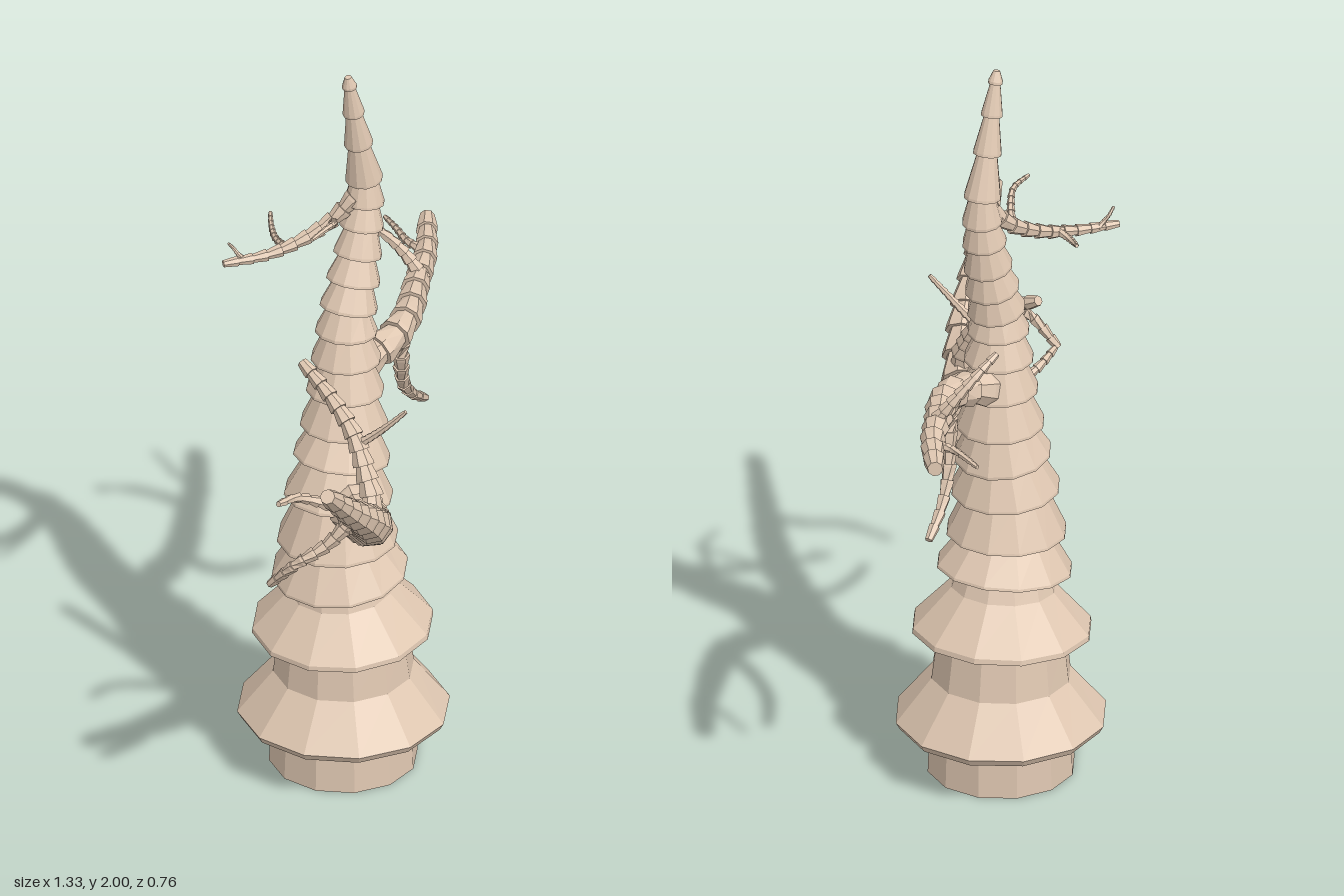
import * as THREE from 'three';

const bark = new THREE.MeshStandardMaterial({ color: 0xe0c8b2, flatShading: true, side: THREE.DoubleSide });
const UP = new THREE.Vector3(0, 1, 0);

// Skin a list of rings { centre, dir, r } and close both ends.
function loft(name, rings, sides) {
  const pos = [], index = [];
  const q = new THREE.Quaternion(), v = new THREE.Vector3();
  for (const { centre, dir, r } of rings) {
    q.setFromUnitVectors(UP, dir);
    for (let k = 0; k < sides; k++) {
      const a = (k + 0.5) / sides * Math.PI * 2;
      v.set(Math.sin(a) * r, 0, Math.cos(a) * r).applyQuaternion(q).add(centre);
      pos.push(v.x, v.y, v.z);
    }
  }
  for (let i = 0; i < rings.length - 1; i++) {
    for (let k = 0; k < sides; k++) {
      const a = i * sides + k, b = i * sides + (k + 1) % sides;
      index.push(a, b, b + sides, a, b + sides, a + sides);
    }
  }
  const last = (rings.length - 1) * sides;
  for (let k = 1; k < sides - 1; k++) {
    index.push(0, k + 1, k, last, last + k, last + k + 1);
  }
  const geo = new THREE.BufferGeometry();
  geo.setAttribute('position', new THREE.Float32BufferAttribute(pos, 3));
  geo.setIndex(index);
  const flat = geo.toNonIndexed();
  flat.computeVertexNormals();
  const mesh = new THREE.Mesh(flat, bark);
  mesh.name = name;
  return mesh;
}

// A curved limb of stacked cups, each wide at its base and narrow at its tip.
function limb(name, points, r0, r1, count, sides) {
  const curve = new THREE.CatmullRomCurve3(points.map(p => new THREE.Vector3(...p)));
  const rings = [];
  const add = (t, r) => rings.push({ centre: curve.getPointAt(t), dir: curve.getTangentAt(t), r });
  for (let i = 0; i < count; i++) {
    const r = THREE.MathUtils.lerp(r0, r1, i / count);
    add(i / count, r * 0.72);
    add(i / count, r);
    add((i + 0.2) / count, r * 0.97);
    add((i + 1) / count, r * 0.7);
  }
  return loft(name, rings, sides);
}

function trunk() {
  // Leaning centre line, as heights and sideways offsets
  const line = new THREE.CatmullRomCurve3([
    [0.01, 0], [0.01, 0.3], [0, 0.5], [-0.015, 0.66], [-0.01, 0.8], [0.01, 0.95], [0.02, 1.15],
    [0.025, 1.28], [0.055, 1.4], [0.085, 1.52], [0.1, 1.64], [0.075, 1.78], [0.05, 1.9], [0.03, 2],
  ].map(([x, y]) => new THREE.Vector3(x, y, -0.08)));
  const at = y => {
    let lo = 0, hi = 1;
    for (let i = 0; i < 30; i++) {
      const m = (lo + hi) / 2;
      if (line.getPoint(m).y < y) lo = m; else hi = m;
    }
    return lo;
  };
  const rings = [];
  const add = (y, r) => {
    const t = at(y);
    rings.push({ centre: line.getPoint(t), dir: line.getTangent(t), r });
  };
  // Plinth and the two big skirts
  [[0, 0.19], [0.13, 0.185], [0.132, 0.262], [0.15, 0.272], [0.265, 0.18], [0.39, 0.165],
    [0.392, 0.232], [0.405, 0.23], [0.51, 0.135], [0.555, 0.12]].forEach(([y, r]) => add(y, r));
  // Smaller skirts up to the tip
  const skirts = [[0.56, 0.175], [0.66, 0.155], [0.785, 0.14], [0.89, 0.125], [0.98, 0.113], [1.08, 0.1],
    [1.17, 0.09], [1.25, 0.08], [1.315, 0.075], [1.385, 0.07], [1.455, 0.063], [1.53, 0.057],
    [1.595, 0.052], [1.665, 0.048], [1.78, 0.037], [1.88, 0.028], [1.965, 0.019], [2, 0.012]];
  skirts.slice(0, -1).forEach(([y, r], i) => {
    const top = skirts[i + 1];
    add(y, r * 0.7);
    add(y + 0.001, r);
    add(y + 0.008, r * 0.99);
    add(top[0] - 0.001, Math.min(r, top[1]) * 0.72);
  });
  return loft('trunk', rings, 12);
}

export function createModel() {
  const g = new THREE.Group();
  g.name = 'bareTree';
  g.add(trunk());

  // Main branches
  g.add(limb('rightBranch', [[-0.02, 0.79, -0.04], [-0.1, 0.81, 0.06], [-0.18, 0.86, 0.14], [-0.26, 0.92, 0.21],
    [-0.37, 1.01, 0.27], [-0.48, 1.1, 0.31], [-0.65, 1.25, 0.36]], 0.076, 0.024, 13, 8));
  g.add(limb('leftBranch', [[0.03, 1.09, -0.085], [0.1, 1.12, -0.08], [0.2, 1.15, -0.065], [0.29, 1.165, -0.085],
    [0.4, 1.18, -0.14], [0.52, 1.19, -0.2], [0.655, 1.2, -0.295]], 0.052, 0.026, 11, 8));
  g.add(limb('upperBranch', [[0.07, 1.62, -0.09], [0.03, 1.57, -0.12], [-0.04, 1.53, -0.16], [-0.13, 1.505, -0.21],
    [-0.23, 1.5, -0.28]], 0.026, 0.012, 10, 7));
  g.add(limb('innerBranch', [[-0.27, 0.92, 0.19], [-0.245, 0.97, 0.2], [-0.225, 1.04, 0.165], [-0.205, 1.12, 0.115],
    [-0.185, 1.19, 0.03], [-0.165, 1.25, -0.08]], 0.034, 0.018, 12, 7));

  // Twigs: path, base radius, tip radius
  const twigs = [
    [[[0.43, 1.18, -0.14], [0.415, 1.25, -0.19], [0.37, 1.32, -0.235], [0.31, 1.365, -0.26]], 0.022, 0.01],
    [[[0.25, 1.15, -0.075], [0.255, 1.06, -0.08], [0.29, 0.96, -0.1], [0.35, 0.89, -0.115], [0.42, 0.84, -0.125]], 0.026, 0.013],
    [[[0.53, 1.19, -0.21], [0.535, 1.195, -0.27], [0.56, 1.2, -0.32], [0.59, 1.2, -0.38]], 0.014, 0.007],
    [[[-0.45, 1.06, 0.29], [-0.5, 0.995, 0.25], [-0.56, 0.95, 0.2], [-0.58, 0.87, 0.125]], 0.022, 0.013],
    [[[-0.2, 0.88, 0.13], [-0.25, 0.92, 0.06], [-0.32, 0.96, 0.02], [-0.4, 0.98, 0.02]], 0.02, 0.01],
    [[[-0.205, 1.1, 0.125], [-0.195, 1.14, 0.17], [-0.185, 1.18, 0.21], [-0.17, 1.225, 0.25]], 0.014, 0.007],
    [[[0.02, 1.56, -0.12], [-0.02, 1.585, -0.09], [-0.07, 1.61, -0.065], [-0.15, 1.612, -0.06]], 0.013, 0.006],
    [[[-0.09, 1.515, -0.19], [-0.07, 1.515, -0.235], [-0.04, 1.525, -0.27], [-0.01, 1.54, -0.295]], 0.012, 0.006],
    [[[-0.18, 1.5, -0.25], [-0.195, 1.52, -0.26], [-0.2, 1.535, -0.27], [-0.215, 1.555, -0.275]], 0.008, 0.004],
  ];
  twigs.forEach(([path, r0, r1], i) => g.add(limb(`twig${i + 1}`, path, r0, r1, 9, 6)));
  return g;
}
